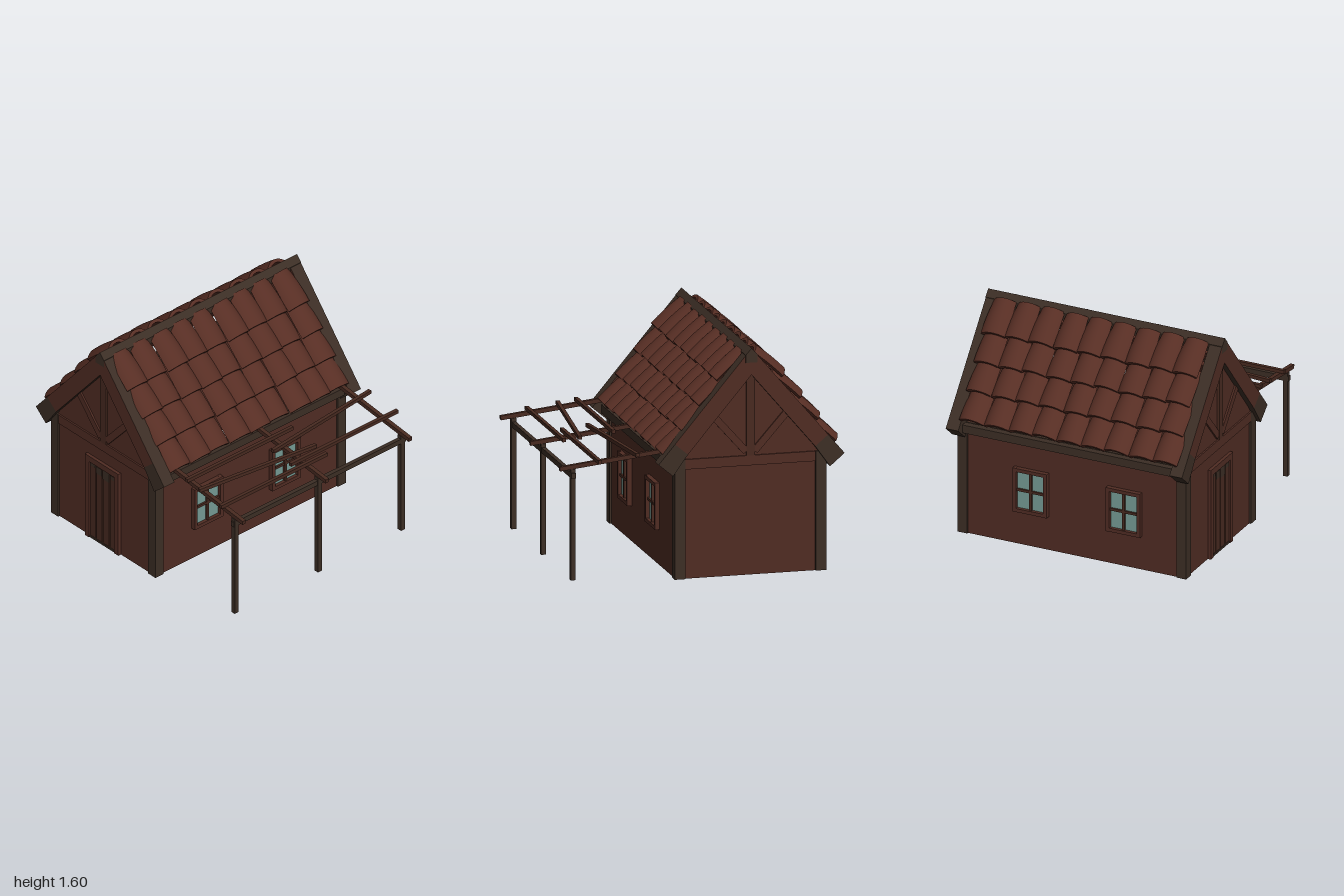
import * as THREE from 'three';
import { toCreasedNormals } from 'three/addons/utils/BufferGeometryUtils.js';

const mat = (name, color) => Object.assign(new THREE.MeshStandardMaterial({ color }), { name });
const RIDGE_X = -0.325, RIDGE_Y = 1.6;
const DX = 0.646, DY = 0.763; // roof slope: run and drop per unit length

export function createModel() {
  const brown = mat('brown plaster', 0x502c23);
  const timber = mat('dark timber', 0x3c2e25);
  const clay = mat('clay tile', 0x572e24);
  const wood = mat('brown wood', 0x482a20);
  const gap = mat('dark gap', 0x1f1510);
  const glass = mat('window glass', 0x769c95);

  const root = new THREE.Group();
  root.name = 'cottage';
  const group = (name, parent = root) => {
    const g = new THREE.Group();
    g.name = name;
    parent.add(g);
    return g;
  };
  const add = (name, geo, material, parent) => {
    const m = new THREE.Mesh(geo, material);
    m.name = name;
    parent.add(m);
    return m;
  };
  // box given by its min and max on each axis
  const box = (name, [x0, x1], [y0, y1], [z0, z1], material, parent) => {
    const m = add(name, new THREE.BoxGeometry(x1 - x0, y1 - y0, z1 - z0), material, parent);
    m.position.set((x0 + x1) / 2, (y0 + y1) / 2, (z0 + z1) / 2);
  };
  // square bar running from a to b, turned before it joins its parent
  const bar = (name, a, b, w, h, material, parent) => {
    const A = new THREE.Vector3(...a), B = new THREE.Vector3(...b);
    const m = new THREE.Mesh(new THREE.BoxGeometry(w, h, A.distanceTo(B)), material);
    m.name = name;
    m.position.copy(A).add(B).multiplyScalar(0.5);
    m.lookAt(B);
    parent.add(m);
  };
  const polygon = pts => new THREE.Shape(pts.map(p => new THREE.Vector2(...p)));
  const extrude = (shape, depth) => new THREE.ExtrudeGeometry(shape, { depth, bevelEnabled: false });

  // walls
  const walls = group('walls');
  const outline = polygon([[-0.85, 0], [0.2, 0], [0.2, 0.84], [RIDGE_X, 1.48], [-0.85, 0.84]]);
  add('frontWall', extrude(outline, 0.02), brown, walls).position.z = 0.838;
  add('backWall', extrude(outline, 0.02), brown, walls).position.z = -0.858;
  box('rightWall', [0.18, 0.2], [0, 0.84], [-0.838, 0.838], brown, walls);
  box('leftWall', [-0.85, -0.83], [0, 0.84], [-0.838, 0.838], brown, walls);

  // timber frame: corner posts, plates and gable truss
  const frame = group('timberFrame');
  for (const x of [-0.862, 0.137])
    for (const z of [-0.872, 0.797]) box('cornerPost', [x, x + 0.075], [0, 0.84], [z, z + 0.075], timber, frame);
  for (const x of [-0.86, 0.17]) box('wallPlate', [x, x + 0.04], [0.77, 0.84], [-0.797, 0.797], timber, frame);
  for (const s of [-1, 1]) {
    const truss = group('gableTruss', frame);
    truss.position.z = s * 0.86;
    box('tieBeam', [-0.79, 0.14], [0.77, 0.84], [-0.01, 0.01], brown, truss);
    box('kingPost', [-0.355, -0.295], [0.84, 1.45], [-0.014, 0.014], wood, truss);
    for (const k of [-1, 1])
      bar('gableBrace', [RIDGE_X + k * 0.03, 0.87, 0], [RIDGE_X + k * 0.26, 1.13, 0], 0.022, 0.05, brown, truss);
  }

  // door
  const door = group('door');
  for (const x of [-0.5, -0.2]) box('doorJamb', [x, x + 0.042], [0, 0.67], [0.85, 0.882], brown, door);
  box('doorLintel', [-0.458, -0.2], [0.625, 0.67], [0.85, 0.882], brown, door);
  box('doorBacking', [-0.46, -0.198], [0.005, 0.627], [0.852, 0.861], gap, door);
  for (let i = 0; i < 4; i++) {
    const x = [-0.456, -0.396, -0.33, -0.255][i], w = [0.05, 0.056, 0.064, 0.054][i];
    const top = 0.622 - (i % 2) * 0.01;
    box('doorPlank', [x, x + w], [0.005, top], [0.855, 0.87], wood, door);
    box('plankWeathering', [x, x + w], [top - 0.03 - (i % 3) * 0.025, top], [0.866, 0.872], timber, door);
  }
  box('doorThreshold', [-0.458, -0.2], [0, 0.015], [0.85, 0.876], timber, door);

  // windows, two on each long side
  const makeWindow = (x, z, side) => {
    const w = group('window');
    w.position.set(x, 0.415, z);
    w.rotation.y = side * Math.PI / 2;
    for (const s of [-1, 1]) {
      const v = s * 0.117, h = s * 0.151;
      box('windowStile', [v - 0.013, v + 0.013], [-0.165, 0.165], [-0.01, 0.034], brown, w);
      box('windowRail', [-0.104, 0.104], [h - 0.013, h + 0.013], [-0.01, 0.034], brown, w);
    }
    box('windowMullion', [-0.009, 0.009], [-0.14, 0.14], [0, 0.024], wood, w);
    box('windowCrossbar', [-0.104, 0.104], [-0.009, 0.009], [0, 0.022], wood, w);
    box('windowGlass', [-0.105, 0.105], [-0.14, 0.14], [0, 0.008], glass, w);
  };
  for (const z of [0.4, -0.31]) {
    makeWindow(0.2, z, 1);
    makeWindow(-0.85, z, -1);
  }

  // one curved roof tile: crest at y = 0, z runs down the slope
  const L = 0.27, R = 0.127, A = 0.869;
  const arch = new THREE.Shape();
  arch.absarc(0, -R, R, Math.PI / 2 - A, Math.PI / 2 + A, false);
  arch.absarc(0, -R, R - 0.024, Math.PI / 2 + A, Math.PI / 2 - A, true);
  let tileGeo = new THREE.ExtrudeGeometry(arch, { depth: L, steps: 4, curveSegments: 8, bevelEnabled: false });
  const p = tileGeo.attributes.position;
  for (let i = 0; i < p.count; i++) {
    const s = p.getZ(i) / L;
    p.setX(i, p.getX(i) * (0.86 + 0.14 * Math.sin(s * Math.PI * 0.6)));
    p.setY(i, p.getY(i) + 0.005 * Math.sin(Math.PI * s));
  }
  tileGeo = toCreasedNormals(tileGeo, 0.7);

  // point on the slope: t along it from the ridge, n out of it
  const onSlope = (t, n) => [t * DX + n * DY, -t * DY + n * DX];
  const bargeUpper = polygon([[0, 0], onSlope(0.84, 0), onSlope(0.84, -0.12), [0, -0.12 / DX]]);
  const bargeEnd = polygon([onSlope(0.84, 0), onSlope(1.02, 0), onSlope(1.02, -0.135), onSlope(0.84, -0.12)]);

  // roof, each half built in the same frame and turned about the ridge
  const roof = group('roof');
  for (const side of [0, 1]) {
    const half = group(side ? 'leftRoofHalf' : 'rightRoofHalf', roof);
    half.position.set(RIDGE_X, RIDGE_Y, 0);
    half.rotation.y = side * Math.PI;
    for (const z of [-0.9, 0.805]) {
      add('bargeBoard', extrude(bargeUpper, 0.095), [brown, timber], half).position.z = z;
      add('bargeBoardEnd', extrude(bargeEnd, 0.095), timber, half).position.z = z;
    }
    const [ex, ey] = onSlope(0.97, -0.075);
    bar('eaveBeam', [ex, ey, -0.805], [ex, ey, 0.805], 0.05, 0.06, timber, half);

    const slope = group('tiles', half);
    slope.quaternion.setFromRotationMatrix(new THREE.Matrix4().makeBasis(
      new THREE.Vector3(0, 0, -1), new THREE.Vector3(DY, DX, 0), new THREE.Vector3(DX, -DY, 0)));
    for (let row = 0; row < 4; row++)
      for (let col = 0; col < 9; col++) {
        const wobble = Math.sin(row * 7.3 + col * 4.1 + side * 2);
        const tile = add('roofTile', tileGeo, clay, slope);
        tile.position.set((col - 4) * 0.183 - 0.02 + row * 0.013, 0.02 - row * 0.007 + side * 0.022 + wobble * 0.003, 0.047 + row * 0.21 + wobble * 0.004);
        tile.rotation.set(-0.155, wobble * 0.025, wobble * 0.03);
      }
  }
  const ridge = polygon([[0, 0.001], [-0.042, -0.046], [-0.042, -0.1], [0.042, -0.1], [0.042, -0.046]]);
  add('ridgeBeam', extrude(ridge, 1.804), timber, roof).position.set(RIDGE_X, RIDGE_Y, -0.902);

  // pergola on the right side
  const pergola = group('pergola');
  const rafterY = x => 0.885 - 0.111 * (x - 0.28);
  for (const z of [-0.76, 0, 0.76]) {
    box('pergolaPost', [0.888, 0.922], [0.02, 0.8], [z - 0.018, z + 0.018], timber, pergola);
    bar('pergolaRafter', [0.25, rafterY(0.25), z], [0.998, rafterY(0.998), z], 0.03, 0.03, wood, pergola);
  }
  box('pergolaBeam', [0.89, 0.92], [0.737, 0.775], [-0.79, 0.785], timber, pergola);
  const slats = [[0.47, -0.86, 0.56, 0.11], [0.74, -0.87, 0.74, 0.11], [0.69, -0.17, 0.58, 0.8], [0.45, -0.17, 0.45, 0.8], [0.8, -0.17, 0.8, 0.8]];
  for (const [x0, z0, x1, z1] of slats)
    bar('pergolaSlat', [x0, rafterY(x0) + 0.026, z0], [x1, rafterY(x1) + 0.026, z1], 0.026, 0.026, wood, pergola);

  return root;
}
